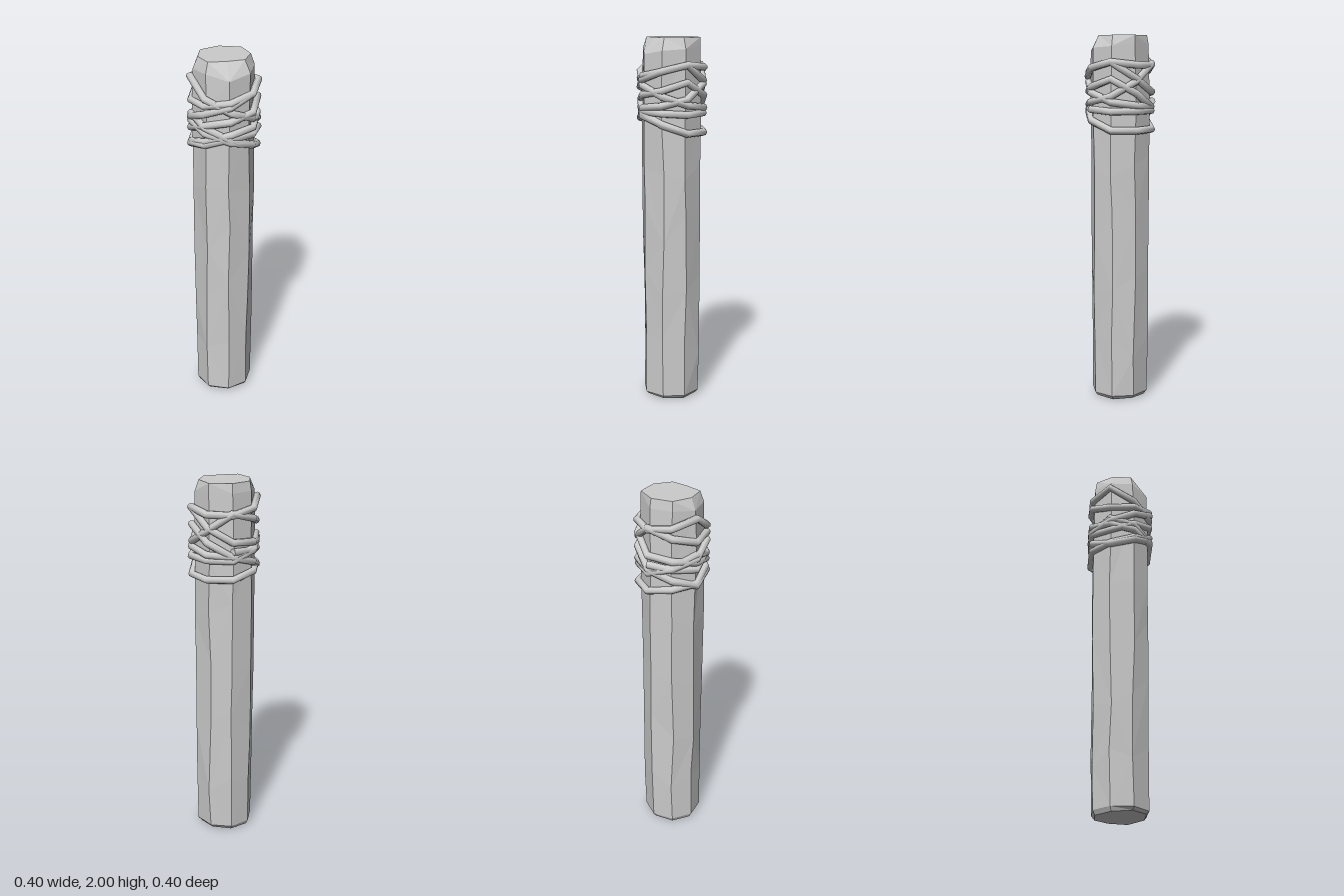
import * as THREE from 'three';

const SIDES = 8;
const grey = (options = {}) => new THREE.MeshStandardMaterial({ color: 0xcccccc, ...options });

function seeded(seed) {
  return () => {
    seed = (seed * 16807) % 2147483647;
    return seed / 2147483647 - 0.5;
  };
}

// Rough-hewn octagonal post lofted through uneven rings
function makePost() {
  const rand = seeded(41);
  const capRadii = [0.14, 0.13, 0.103, 0.14, 0.135, 0.15, 0.15, 0.16];
  const levels = [[0, 0.14], [0.03, 0.157], [0.3, 0.16], [0.65, 0.161], [1.0, 0.163],
    [1.35, 0.165], [1.7, 0.164], [1.96, 0.162], [2, 0]];
  const last = levels.length - 1;
  const rings = levels.map(([y, r], k) => Array.from({ length: SIDES }, (_, i) => {
    const a = (i / SIDES) * Math.PI * 2 + (k > 1 && k < last - 1 ? rand() * 0.1 : 0);
    const radius = k === last ? capRadii[i] : r + rand() * 0.007;
    let h = y;
    if (k === 0) h += 0.008 + rand() * 0.016;
    else if (k === last - 1) h -= (0.163 - capRadii[i]) * 0.8;
    else if (k > 1 && k < last) h += rand() * 0.22;
    return [radius * Math.cos(a) - 0.003, h, radius * Math.sin(a)];
  }));

  const pos = [];
  const tri = (...points) => points.forEach((p) => pos.push(...p));
  for (let k = 0; k < last; k++) {
    for (let i = 0; i < SIDES; i++) {
      const j = (i + 1) % SIDES;
      const a = rings[k][i], b = rings[k + 1][i], c = rings[k + 1][j], d = rings[k][j];
      if ((i + k) % 2) { tri(a, b, c); tri(a, c, d); }
      else { tri(a, b, d); tri(b, c, d); }
    }
  }
  // End caps
  for (let i = 0; i < SIDES; i++) {
    const j = (i + 1) % SIDES;
    tri([0, 2, 0], rings[last][j], rings[last][i]);
    tri([0, 0.006, 0], rings[0][i], rings[0][j]);
  }
  const geo = new THREE.BufferGeometry();
  geo.setAttribute('position', new THREE.Float32BufferAttribute(pos, 3));
  geo.computeVertexNormals();
  const mesh = new THREE.Mesh(geo, grey({ flatShading: true }));
  mesh.name = 'post';
  return mesh;
}

// Path of straight runs whose samples land exactly on the corners
class CornerPath extends THREE.Curve {
  constructor(points) {
    super();
    this.points = points;
  }
  getPoint(t, target = new THREE.Vector3()) {
    const n = this.points.length - 1;
    const i = Math.min(Math.floor(t * n + 1e-6), n - 1);
    return target.lerpVectors(this.points[i], this.points[i + 1], t * n - i);
  }
  getPointAt(t, target) { return this.getPoint(t, target); }
  getTangentAt(t, target) { return this.getTangent(t, target); }
  getTangent(t, target = new THREE.Vector3()) {
    const e = 0.2 / (this.points.length - 1);
    const a = this.getPoint(Math.max(0, t - e));
    const b = this.getPoint(Math.min(1, t + e));
    return target.subVectors(b, a).normalize();
  }
}

// One rope wound crosswise around the post; heights at left, front, right and back
function makeRope() {
  const rand = seeded(97);
  const turns = [
    [1.50, 1.59, 1.66, 1.70], [1.86, 1.80, 1.77, 1.85],
    [1.68, 1.63, 1.54, 1.50], [1.50, 1.60, 1.70, 1.62],
    [1.65, 1.75, 1.90, 1.84], [1.86, 1.78, 1.68, 1.60],
    [1.60, 1.61, 1.53, 1.62], [1.77, 1.70, 1.62, 1.65],
  ];
  const heights = turns.flat();
  const points = [];
  for (let s = 0; s < heights.length * 2 - 1; s++) {
    const k = s >> 1;
    const y = s % 2 ? (heights[k] + heights[k + 1]) / 2 + rand() * 0.02 : heights[k];
    const a = (s / SIDES) * Math.PI * 2;
    const r = 0.177 + rand() * 0.006;
    points.push(new THREE.Vector3(r * Math.cos(a), y, r * Math.sin(a)));
  }
  const group = new THREE.Group();
  group.name = 'ropeWrap';
  const path = new CornerPath(points);
  const radius = 0.02;
  const rope = new THREE.Mesh(
    new THREE.TubeGeometry(path, points.length - 1, radius, 8), grey());
  rope.name = 'rope';
  group.add(rope);
  // Cut ends
  for (const t of [0, 1]) {
    const end = new THREE.Mesh(new THREE.CircleGeometry(radius, 8), grey());
    const dir = path.getTangentAt(t).multiplyScalar(t ? 1 : -1);
    end.position.copy(path.getPointAt(t));
    end.quaternion.setFromUnitVectors(new THREE.Vector3(0, 0, 1), dir);
    end.name = t ? 'ropeEndUpper' : 'ropeEndLower';
    group.add(end);
  }
  return group;
}

export function createModel() {
  const model = new THREE.Group();
  model.name = 'ropeBoundPost';
  model.add(makePost(), makeRope());
  return model;
}
